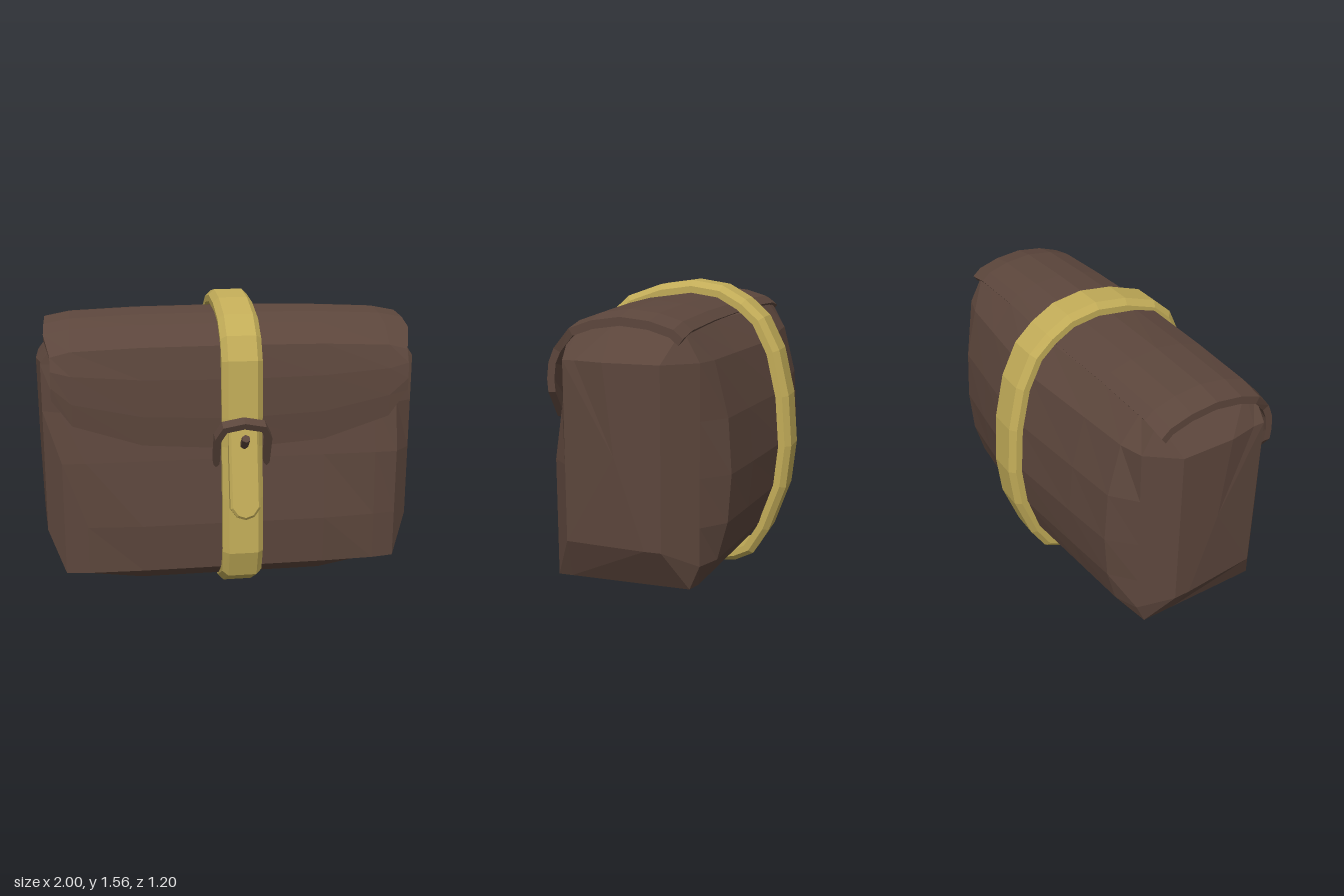
import * as THREE from 'three';

const leather = new THREE.MeshStandardMaterial({ color: 0x5c463c, flatShading: true, side: THREE.DoubleSide });
const webbing = new THREE.MeshStandardMaterial({ color: 0xc2ac58, flatShading: true, side: THREE.DoubleSide });
const STRAP_X = 0.035;

// Skin closed rings of [x, y, z] points; optionally join the last ring to the first.
function loft(rings, closed = false) {
  const n = rings[0].length, index = [];
  const spans = closed ? rings.length : rings.length - 1;
  for (let i = 0; i < spans; i++) {
    const k = (i + 1) % rings.length;
    for (let j = 0; j < n; j++) {
      const m = (j + 1) % n;
      const a = i * n + j, b = i * n + m, c = k * n + j, d = k * n + m;
      index.push(a, c, b, b, c, d);
    }
  }
  const g = new THREE.BufferGeometry();
  g.setAttribute('position', new THREE.Float32BufferAttribute(rings.flat(2), 3));
  g.setIndex(index);
  g.computeVertexNormals();
  return g;
}

// Inward unit normal of a [z, y] path that climbs the front and goes over to the back.
function inward(path, i, closed) {
  const n = path.length;
  const p = path[closed ? (i + n - 1) % n : Math.max(i - 1, 0)];
  const q = path[closed ? (i + 1) % n : Math.min(i + 1, n - 1)];
  const dz = q[0] - p[0], dy = q[1] - p[1], l = Math.hypot(dz, dy);
  return [-dy / l, dz / l];
}

function add(group, name, geometry, material) {
  const mesh = new THREE.Mesh(geometry, material);
  mesh.name = name;
  group.add(mesh);
  return mesh;
}

// Repeat centre-to-side stations on both sides, ordered by x.
const mirrored = (half) => [
  ...half.slice(1).reverse().map(([x, ...rest]) => [-x, ...rest]), ...half];

// Bag body: one side profile, limited to a smaller box toward each end
function bodyGeometry() {
  const profile = [[0.33, 0.075], [0.43, 0.15], [0.445, 0.4], [0.405, 0.74], [0.36, 1.0], [0.32, 1.24],
    [0.31, 1.36], [0.25, 1.42], [0.1, 1.45], [-0.12, 1.45], [-0.3, 1.39], [-0.43, 1.24], [-0.51, 0.97],
    [-0.535, 0.7], [-0.51, 0.46], [-0.45, 0.27], [-0.34, 0.13], [-0.12, 0.075]];
  // x, back, front, bottom, top
  const stations = mirrored([
    [0, -1, 1, 0, 2], [0.48, -1, 1, 0, 2], [0.76, -0.45, 0.42, 0.125, 1.42],
    [0.88, -0.33, 0.4, 0.15, 1.39], [1, -0.18, 0.31, 0.36, 1.24], [1, 0.05, 0.05, 0.8, 0.8]]);
  const { clamp } = THREE.MathUtils;
  return loft(stations.map(([x, back, front, bottom, top]) => profile.map(([z, y]) => {
    const zz = clamp(z < 0 ? z * (1 - 0.2 * Math.abs(x)) : z, back, front);
    const xx = Math.abs(x) === 1 && zz > 0.2 ? x * 0.97 : x;
    return [xx, clamp(y, bottom, top), zz];
  })));
}

// Flap: thick sheet over the top, its front edge curving up toward the sides
function flapGeometry() {
  const path = [[0.435, 0.8], [0.44, 0.96], [0.43, 1.16], [0.4, 1.33], [0.3, 1.43], [0.18, 1.47],
    [0.03, 1.49], [-0.12, 1.475], [-0.24, 1.44], [-0.29, 1.4]];
  // x, front edge height, drop, thickness
  const stations = mirrored([
    [0, 0.8, 0, 0.04], [0.47, 0.835, 0.005, 0.04], [0.82, 0.96, 0.02, 0.04],
    [0.95, 1.12, 0.045, 0.04], [0.95, 1.12, 0.045, 0]]);
  return loft(stations.map(([x, edge, drop, t]) => {
    const place = (i, depth) => {
      const [z, y] = path[i], [nz, ny] = inward(path, i, false);
      const yy = y < 1.33 ? 1.33 - (1.33 - y) * (1.33 - edge) / 0.53 : y;
      const xx = Math.abs(x) > 0.9 && y < 1.4 && z > 0 ? x * 0.968 : x;
      return [xx, yy + ny * depth - drop, (z + nz * depth) * (1 - 0.06 * Math.abs(x))];
    };
    const outer = path.map((_, i) => place(i, 0));
    const inner = path.map((_, i) => place(i, t)).reverse();
    return [...outer, ...inner];
  }));
}

// Strap: chamfered band swept around the whole bag
function strapGeometry() {
  const path = [[0.535, 0.26], [0.52, 0.55], [0.49, 0.82], [0.49, 0.97], [0.475, 1.26], [0.42, 1.38],
    [0.315, 1.475], [0.13, 1.54], [-0.05, 1.565], [-0.215, 1.54], [-0.34, 1.47], [-0.44, 1.38],
    [-0.525, 1.21], [-0.58, 0.97], [-0.6, 0.7], [-0.575, 0.47], [-0.485, 0.22], [-0.4, 0.08],
    [-0.3, 0.03], [-0.12, 0.005], [0.19, 0.005], [0.31, 0.02], [0.49, 0.12]];
  const section = [[0.105, 0.065], [0.105, 0.03], [0.075, 0], [-0.075, 0], [-0.105, 0.03], [-0.105, 0.065]];
  return loft(path.map(([z, y], i) => {
    const [nz, ny] = inward(path, i, true);
    return section.map(([dx, d]) => [STRAP_X + dx, y + ny * d, z + nz * d]);
  }), true);
}

// Loose strap end, rounded at the bottom; origin at its top
function tailGeometry() {
  const s = new THREE.Shape([[-0.078, 0], [-0.078, -0.44], [-0.045, -0.485], [0, -0.5], [0.045, -0.485],
    [0.078, -0.44], [0.078, 0]].map(([x, y]) => new THREE.Vector2(x, y)));
  return new THREE.ExtrudeGeometry(s, { depth: 0.035, bevelThickness: 0.012, bevelSize: 0.012,
    bevelOffset: -0.012, bevelSegments: 1 });
}

// Buckle: arched bar with two legs; origin at the leg ends
function buckleGeometry() {
  const outer = [[-0.147, 0.02], [-0.147, 0.18], [-0.11, 0.255], [0, 0.28], [0.11, 0.255], [0.147, 0.18], [0.147, 0.02], [0.132, 0]];
  const inner = [[0.115, 0.02], [0.115, 0.17], [0.088, 0.225], [0, 0.245], [-0.088, 0.225], [-0.115, 0.17], [-0.115, 0.02], [-0.132, 0]];
  const s = new THREE.Shape([...outer, ...inner].map(([x, y]) => new THREE.Vector2(x, y)));
  return new THREE.ExtrudeGeometry(s, { depth: 0.055, bevelEnabled: false });
}

export function createModel() {
  const bag = new THREE.Group();
  bag.name = 'satchel';
  add(bag, 'body', bodyGeometry(), leather);
  add(bag, 'flap', flapGeometry(), leather);
  add(bag, 'strap', strapGeometry(), webbing);

  const tail = add(bag, 'strapEnd', tailGeometry(), webbing);
  tail.position.set(STRAP_X, 0.945, 0.455);
  tail.rotation.x = -0.2;

  const buckle = add(bag, 'buckle', buckleGeometry(), leather);
  buckle.position.set(STRAP_X, 0.725, 0.385);
  buckle.rotation.x = 0.43;

  // Buckle pin poking out through the strap end
  const pin = add(bag, 'bucklePin', new THREE.CylinderGeometry(0.022, 0.022, 0.13, 6), leather);
  pin.position.set(STRAP_X, 0.845, 0.525);
  pin.rotation.x = 0.87;
  return bag;
}
